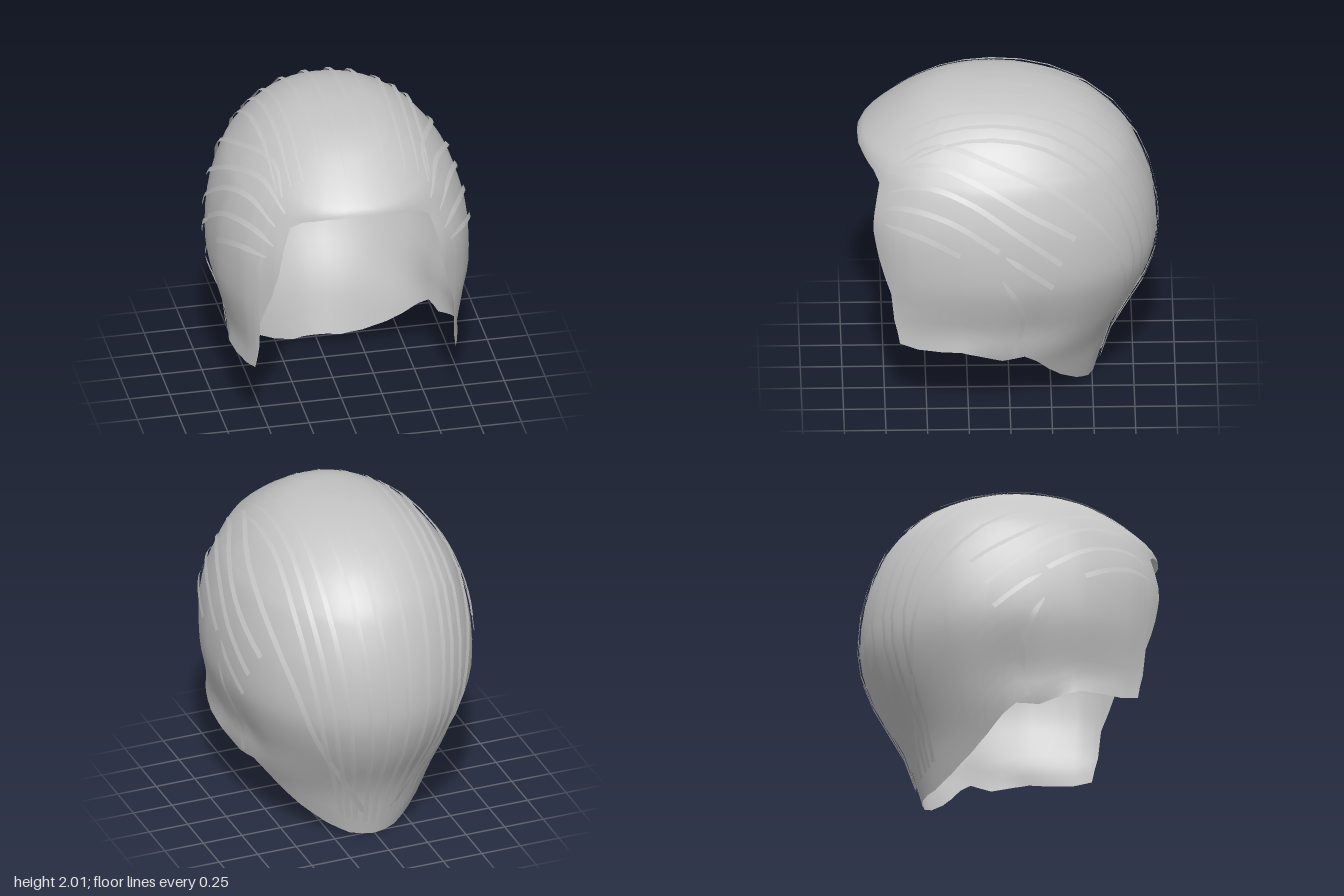
import * as THREE from 'three';
import { mergeVertices } from 'three/addons/utils/BufferGeometryUtils.js';

const ZC = 0.1; // z of the crown axis

// Horizontal slices from crown to nape:
// height, half width, front z, back z, roundness of the front, roundness of the back
const SLICES = [
  [2.0, 0, 0.1, 0.1, 2.1, 2.1], [1.98, 0.2, 0.38, -0.12, 2.1, 2.1], [1.93, 0.35, 0.55, -0.33, 2.1, 2.1],
  [1.83, 0.49, 0.71, -0.53, 2.1, 2.1], [1.72, 0.585, 0.85, -0.65, 2.1, 2.1], [1.65, 0.635, 0.91, -0.71, 2.1, 2.1],
  [1.55, 0.69, 0.915, -0.77, 2.25, 2.1], [1.3, 0.76, 0.95, -0.86, 2.5, 2.1], [1.0, 0.775, 0.94, -0.89, 2.5, 2.1],
  [0.8, 0.735, 0.97, -0.85, 2.5, 2.05], [0.62, 0.685, 1.04, -0.775, 2.6, 1.95], [0.45, 0.655, 1.1, -0.675, 2.9, 1.85],
  [0.3, 0.59, 1.1, -0.605, 2.9, 1.8], [0.15, 0.52, 1.1, -0.56, 2.9, 1.8], [0, 0.44, 1.1, -0.52, 2.9, 1.8],
];
const LAST = SLICES.length - 1;

// Free edge of one half, from mid forehead down the face and back to the nape
const EDGE = [
  [0, 1.65, 0.91], [0.23, 1.62, 0.88], [0.36, 1.585, 0.82], [0.43, 1.54, 0.79],
  [0.47, 1.42, 0.81], [0.5, 1.25, 0.82], [0.535, 1.08, 0.785], [0.59, 0.86, 0.71],
  [0.6, 0.68, 0.7], [0.61, 0.525, 0.66], [0.65, 0.5, 0.56], [0.69, 0.5, 0.3],
  [0.67, 0.47, 0.2], [0.62, 0.41, 0.05], [0.6, 0.42, -0.08], [0.55, 0.36, -0.15],
  [0.48, 0.26, -0.23], [0.4, 0.17, -0.31], [0.28, 0.07, -0.43], [0.15, 0.01, -0.5],
  [0, 0, -0.52],
];

// Smoothly interpolated slice at index s
function slice(s) {
  const i = Math.min(Math.floor(s), LAST - 1), t = s - i;
  const at = (k) => SLICES[Math.max(0, Math.min(LAST, k))];
  const [a, b, c, d] = [at(i - 1), at(i), at(i + 1), at(i + 2)];
  return b.map((q, k) => q + 0.5 * t * (c[k] - a[k]
    + t * (2 * a[k] - 5 * q + 4 * c[k] - d[k] + t * (3 * (q - c[k]) + d[k] - a[k]))));
}

const bell = (u, v) => Math.exp(-u * u - v * v);

// Surface point at angle a around the crown axis (0 = front) and slice s
function surface(a, s) {
  const [y, w, f, b, frontRound, backRound] = slice(s);
  const front = Math.cos(a) > 0, p = front ? frontRound : backRound;
  const depth = (front ? f - ZC : ZC - b) + 1e-5;
  const r = (Math.abs(Math.sin(a) / (w + 1e-5)) ** p + Math.abs(Math.cos(a) / depth) ** p) ** (-1 / p);
  const z = ZC + r * Math.cos(a);
  // sideburn flare and the hollow behind the ear
  const shape = 1 + 0.045 * bell((z - 0.32) / 0.2, (y - 0.48) / 0.09)
    - 0.035 * bell((z + 0.13) / 0.16, (y - 0.58) / 0.22);
  return new THREE.Vector3(shape * r * Math.sin(a), y, z);
}

// Slice index where test(s) turns true
function findSlice(test) {
  let lo = 0, hi = LAST;
  for (let i = 0; i < 28; i++) {
    const mid = (lo + hi) / 2;
    if (test(mid)) hi = mid; else lo = mid;
  }
  return hi;
}

// Pushes a point radially onto the shell
function project(p) {
  const a = Math.atan2(p.x, p.z - ZC);
  const elevation = Math.atan2(p.y - 1, Math.hypot(p.x, p.z - ZC));
  return surface(a, findSlice((s) => {
    const q = surface(a, s);
    return Math.atan2(q.y - 1, Math.hypot(q.x, q.z - ZC)) <= elevation;
  }));
}

// Shell point on one side for a given z and y
function sidePoint(side, [z, y]) {
  const [, w, f, b, frontRound, backRound] = slice(findSlice((s) => slice(s)[0] <= y));
  const front = z > ZC, p = front ? frontRound : backRound;
  const k = Math.min(1, Math.abs((z - ZC) / (front ? f - ZC : b - ZC)));
  return new THREE.Vector3(side * w * (1 - k ** p) ** (1 / p), y, z);
}

function gridGeometry(positions, cols, rows, closed) {
  const index = [];
  for (let i = 0; i < (closed ? cols : cols - 1); i++) {
    for (let j = 0; j < rows - 1; j++) {
      const a = i * rows + j, b = ((i + 1) % cols) * rows + j;
      index.push(a, a + 1, b, b, a + 1, b + 1);
    }
  }
  let g = new THREE.BufferGeometry();
  g.setAttribute('position', new THREE.Float32BufferAttribute(positions, 3));
  g.setIndex(index);
  if (closed) g = mergeVertices(g, 1e-4);
  g.computeVertexNormals();
  return g;
}

// Cap: columns run from the crown down to the free edge
function shellGeometry() {
  const half = [];
  EDGE.forEach(([x, y, z], i) => {
    const a = Math.atan2(x, z - ZC);
    if (i) {
      const prev = half[half.length - 1];
      half.push([(prev[0] + a) / 2, (prev[1] + y) / 2]);
    }
    half.push([a, y]);
  });
  const mirrored = half.slice(1, -1).reverse().map(([a, y]) => [-a, y]);
  const columns = [...half, ...mirrored], rows = 29, positions = [];
  for (const [a, y] of columns) {
    const end = findSlice((s) => slice(s)[0] <= y);
    for (let j = 0; j < rows; j++) positions.push(...surface(a, (end * j) / (rows - 1)).toArray());
  }
  return gridGeometry(positions, columns.length, rows, true);
}

// Flat ribbon lying just above the shell, pointed at its root and cut square at its end
function strandGeometry(points, width) {
  const n = 18, curve = new THREE.CatmullRomCurve3(points), positions = [];
  const path = curve.getPoints(n - 1).map(project);
  const centre = new THREE.Vector3(0, 1, ZC);
  path.forEach((p, i) => {
    const t = i / (n - 1);
    const normal = p.clone().sub(centre).normalize();
    const along = path[Math.min(i + 1, n - 1)].clone().sub(path[Math.max(i - 1, 0)]);
    const across = along.cross(normal).normalize();
    const w = width * (0.3 + 0.7 * Math.min(1, 4 * t));
    const lift = 0.004 + 0.012 * Math.min(1, 3 * t);
    for (const k of [-0.5, 0.5]) {
      positions.push(...p.clone().addScaledVector(normal, lift).addScaledVector(across, k * w).toArray());
    }
  });
  return gridGeometry(positions, n, 2, false);
}

// Side strands as z, y paths
const SIDE_STRANDS = [
  [[0.75, 1.33], [0.6, 1.33], [0.45, 1.29], [0.3, 1.22]],
  [[0.76, 1.41], [0.62, 1.46], [0.35, 1.42], [0.07, 1.25]],
  [[0.03, 1.21], [-0.1, 1.11], [-0.25, 0.98]],
  [[0.72, 1.52], [0.5, 1.6], [0.25, 1.54], [-0.05, 1.34], [-0.3, 1.13]],
  [[0.73, 1.61], [0.48, 1.71], [0.2, 1.64], [-0.1, 1.47], [-0.38, 1.28]],
  [[0.66, 1.68], [0.45, 1.8], [0.05, 1.72], [-0.35, 1.5], [-0.62, 1.15], [-0.68, 0.8], [-0.56, 0.2]],
  [[0.05, 1.05], [-0.02, 0.93], [-0.07, 0.72], [-0.02, 0.46]],
];

export function createModel() {
  const grey = new THREE.MeshStandardMaterial({ color: 0xc4c4c4, side: THREE.DoubleSide });
  grey.name = 'hair grey';
  const model = new THREE.Group();
  model.name = 'hair';
  const add = (name, geometry) => {
    const mesh = new THREE.Mesh(geometry, grey);
    mesh.name = name;
    model.add(mesh);
  };
  add('hairShell', shellGeometry());

  // Swept-back strands over the crown, gathering at the nape
  for (const x of [-0.54, -0.42, -0.33, -0.2, -0.07, 0.06, 0.17, 0.31, 0.42, 0.53]) {
    const pts = [[x, 1.8, 0.68], [x * 1.02, 1.97, 0.3], [x * 1.05, 1.93, -0.2], [x * 1.1, 1.6, -0.66],
      [x, 1.15, -0.85], [x * 0.8, 0.65, -0.8], [x * 0.42, 0.1, -0.55]];
    add('crownStrand', strandGeometry(pts.map((p) => new THREE.Vector3(...p)), 0.03));
  }
  for (const side of [-1, 1]) {
    for (const path of SIDE_STRANDS) {
      add('sideStrand', strandGeometry(path.map((p) => sidePoint(side, p)), 0.034));
    }
  }
  return model;
}
